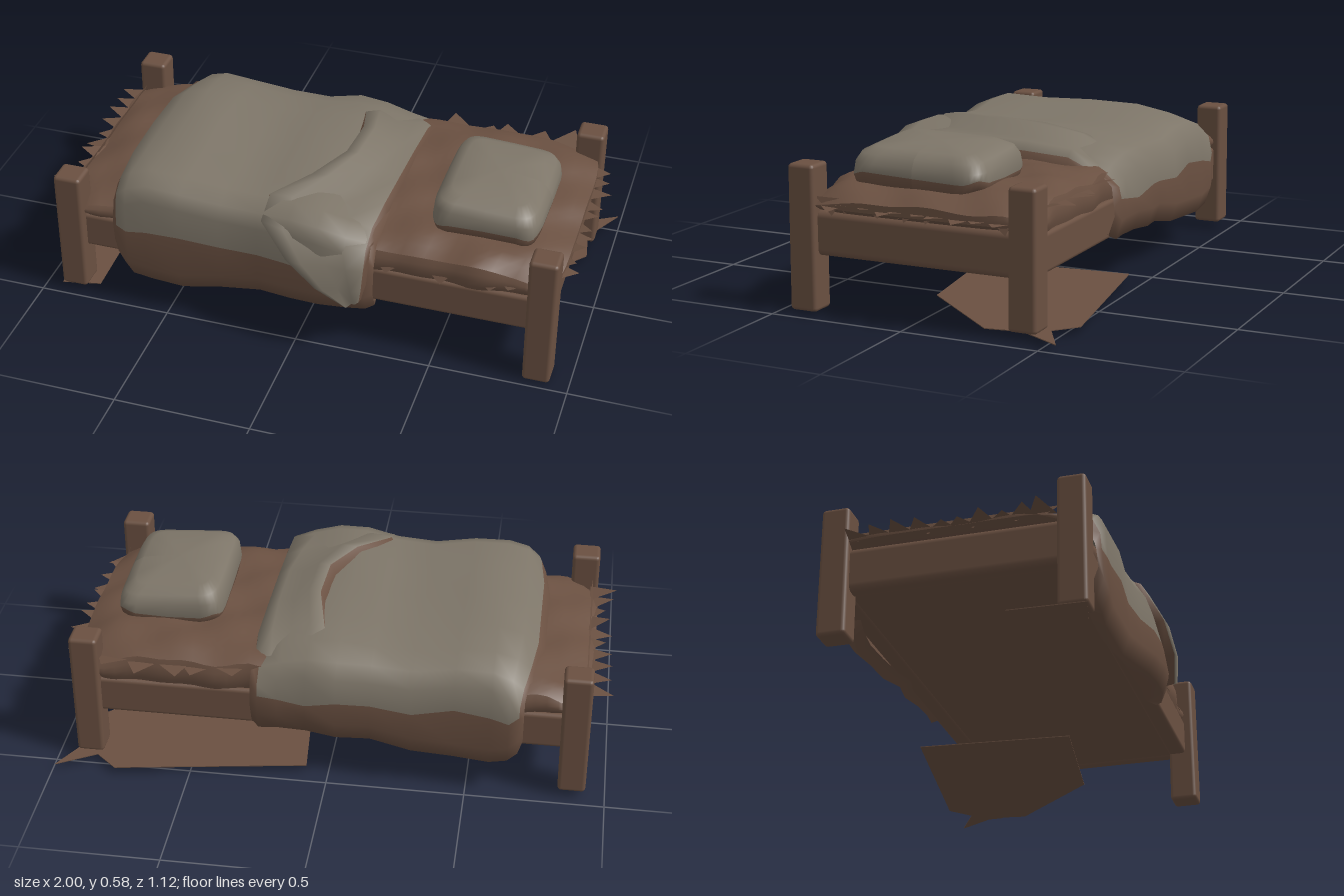
import * as THREE from 'three';
import { RoundedBoxGeometry } from 'three/addons/geometries/RoundedBoxGeometry.js';

export function createModel() {
  const bed = new THREE.Group();
  bed.name = 'bed';
  const brown = new THREE.MeshStandardMaterial({ color: 0x6a5041, side: THREE.DoubleSide });
  brown.name = 'brown wood and straw';
  const grey = new THREE.MeshStandardMaterial({ color: 0x7d7568, side: THREE.DoubleSide });
  grey.name = 'grey cloth';

  let seed = 7;
  const rand = () => (seed = (seed * 16807) % 2147483647) / 2147483647;
  const V = (x, y, z) => new THREE.Vector3(x, y, z);

  const add = (name, geometry, material, x = 0, y = 0, z = 0) => {
    const mesh = new THREE.Mesh(geometry, material);
    mesh.name = name;
    mesh.position.set(x, y, z);
    bed.add(mesh);
    return mesh;
  };

  // Skin between cross-sections; isGrey(row, column) picks the colour of each cell
  const loft = (rows, isGrey) => {
    const n = rows[0].length, parts = [[], []];
    for (let i = 0; i < rows.length - 1; i++) {
      for (let j = 0; j < n - 1; j++) {
        const a = i * n + j, b = a + n;
        parts[isGrey(i, j) ? 1 : 0].push(a, b, a + 1, b, b + 1, a + 1);
      }
    }
    const g = new THREE.BufferGeometry().setFromPoints(rows.flat());
    g.setIndex([...parts[0], ...parts[1]]);
    g.addGroup(0, parts[0].length, 0);
    g.addGroup(parts[0].length, parts[1].length, 1);
    g.computeVertexNormals();
    return g;
  };

  // Corner posts, a little worn and uneven
  const posts = [[-0.88, 0.42, 0.03, 0.51], [0.88, 0.42, 0.005, 0.52], [-0.88, -0.41, 0.03, 0.51], [0.88, -0.41, 0.03, 0.515]];
  for (const [x, z, low, high] of posts) {
    const post = new RoundedBoxGeometry(0.1, high - low, 0.1, 2, 0.014);
    const p = post.attributes.position;
    for (let i = 0; i < p.count; i++) {
      if (p.getY(i) > 0) p.setX(i, p.getX(i) * 1.04 + (x < 0 ? 0.004 : -0.002));
      else p.setZ(i, p.getZ(i) * 1.05);
    }
    add('cornerPost', post, brown, x, (low + high) / 2, z);
  }

  // Rails and base
  for (const s of [-1, 1]) {
    add('sideRail', new RoundedBoxGeometry(1.7, 0.14, 0.07, 2, 0.015), brown, 0, 0.27, s * 0.4);
    add('endRail', new RoundedBoxGeometry(0.07, 0.16, 0.78, 2, 0.025), brown, s * 0.87, 0.28, 0);
  }
  add('basePanel', new THREE.BoxGeometry(1.7, 0.02, 0.78), brown, 0, 0.215, 0);

  // Lumpy straw mattress, thinning out over the end rails
  const mattress = new THREE.BoxGeometry(1.86, 0.13, 0.87, 44, 4, 20);
  const mp = mattress.attributes.position;
  for (let i = 0; i < mp.count; i++) {
    const x = mp.getX(i), y = mp.getY(i), z = mp.getZ(i);
    const ex = Math.abs(x) / 0.93, ez = Math.abs(z) / 0.435;
    const lump = 0.009 * Math.sin(x * 23 + z * 5) * Math.cos(z * 17 - x * 6);
    const top = 0.455 + lump + 0.015 * x - 0.02 * z - 0.06 * Math.pow(ex, 8) - 0.035 * Math.pow(ez, 8);
    const bottom = 0.325 + 0.05 * Math.pow(ex, 12);
    const t = y / 0.13 + 0.5;
    mp.setXYZ(i, x * (1 - 0.04 * Math.pow(ez, 6)), bottom + (top - bottom) * t, z * (1 - 0.03 * (2 * t - 1) ** 2) + lump);
  }
  mattress.computeVertexNormals();
  add('strawMattress', mattress, brown);

  // Ragged straw tufts: broad zigzag triangles along an edge
  const fringe = (name, start, end, out, count, length, drop) => {
    const pts = [];
    for (let i = 0; i < count; i++) {
      const a = start.clone().lerp(end, (i - 0.2) / count), b = start.clone().lerp(end, (i + 1.2) / count);
      const tip = a.clone().lerp(b, 0.2 + 0.6 * rand()).addScaledVector(out, length * (0.4 + 0.6 * rand()));
      tip.y += drop * (rand() - 0.4);
      a.addScaledVector(out, -0.02);
      b.addScaledVector(out, -0.02);
      pts.push(a, b, tip);
    }
    const g = new THREE.BufferGeometry().setFromPoints(pts);
    g.computeVertexNormals();
    add(name, g, brown);
  };
  for (const s of [-1, 1]) {
    fringe('endStraw', V(s * 0.92, 0.385, -0.35), V(s * 0.92, 0.385, 0.35), V(s, 0, 0), 10, 0.085, 0.035);
    fringe('lowerEndStraw', V(s * 0.91, 0.39, -0.36), V(s * 0.91, 0.39, 0.36), V(s * 0.3, -1, 0), 9, 0.04, 0.01);
  }
  fringe('frontStraw', V(0.28, 0.37, 0.425), V(0.82, 0.37, 0.425), V(0, -0.7, 0.5), 6, 0.04, 0.02);
  fringe('backStraw', V(0.32, 0.42, -0.42), V(0.82, 0.42, -0.42), V(0, 0.1, -1), 5, 0.08, 0.03);

  // Blanket stations: x, top, front z, front hem, back z, back hem
  const stations = [
    [-0.75, 0.44, 0.45, 0.2, -0.46, 0.22], [-0.725, 0.485, 0.465, 0.16, -0.48, 0.18],
    [-0.67, 0.522, 0.475, 0.125, -0.487, 0.15], [-0.58, 0.545, 0.47, 0.11, -0.478, 0.13],
    [-0.45, 0.54, 0.475, 0.105, -0.467, 0.135], [-0.3, 0.52, 0.465, 0.13, -0.475, 0.15],
    [-0.15, 0.525, 0.475, 0.16, -0.465, 0.18], [-0.03, 0.54, 0.5, 0.17, -0.487, 0.19],
    [0.08, 0.535, 0.51, 0.175, -0.475, 0.2], [0.18, 0.51, 0.505, 0.18, -0.47, 0.2],
    [0.25, 0.49, 0.485, 0.175, -0.477, 0.2], [0.278, 0.44, 0.46, 0.18, -0.46, 0.22],
  ];
  const blanketRows = stations.map(([x, top, fz, fLow, bz, bLow], i) => {
    const wave = 0.008 * Math.sin(i * 2.1), line = 0.335 + wave;
    const inset = i === 0 || i === stations.length - 1 ? 0 : 0.055;
    const hem = x < -0.6 ? (-0.6 - x) * 0.36 : 0;
    return [
      V(x + hem, fLow + 0.02, 0.4), V(x + hem, fLow, fz - 0.025), V(x + hem * 0.8, fLow + 0.07, fz + 0.005),
      V(x + hem * 0.7, line, fz), V(x + hem * 0.7, top - 0.08, fz - 0.005), V(x + hem * 0.6, top - 0.025, fz - 0.03),
      V(x + hem * 0.4, top, fz - 0.1), V(x, top - 0.006 + wave, 0.2), V(x, top + wave, 0), V(x, top - 0.004, -0.2),
      V(x + hem * 0.4, top - 0.028, -0.33), V(x + hem * 0.8, top - inset, bz + 0.06), V(x + hem, top - inset - 0.045, bz + 0.01),
      V(x + hem, line + wave, bz), V(x + hem, bLow + 0.07, bz - 0.003), V(x + hem, bLow, bz + 0.02), V(x + hem, bLow + 0.02, -0.4),
    ];
  });
  add('blanket', loft(blanketRows, (i, j) => i > 0 && i < stations.length - 2 && j >= 3 && j < 13), [brown, grey]);

  // Folded-over flap: left edge x, y, z, then right edge x, y, z; its back end sinks into the blanket
  const flapEdges = [
    [0.0, 0.46, -0.38, 0.27, 0.43, -0.4], [0.04, 0.53, -0.25, 0.275, 0.485, -0.28],
    [0.075, 0.566, -0.1, 0.27, 0.495, -0.1], [0.065, 0.572, 0.08, 0.265, 0.5, 0.1],
    [-0.015, 0.562, 0.24, 0.26, 0.5, 0.25], [-0.13, 0.537, 0.37, 0.255, 0.49, 0.4],
    [-0.13, 0.49, 0.475, 0.255, 0.45, 0.48], [-0.02, 0.385, 0.535, 0.255, 0.38, 0.51],
    [0.09, 0.295, 0.548, 0.25, 0.3, 0.52], [0.19, 0.22, 0.525, 0.24, 0.24, 0.51],
  ];
  const flapRows = flapEdges.map(([x, y, z, x2, y2, z2], i) => {
    const a = V(x, y, z), b = V(x2, y2, z2);
    const up = i < 6 ? V(0, 0.016, 0) : V(0, 0, 0.012);
    const under = i < 6 ? V(x - 0.022, y - 0.045, z - 0.005) : V(x + 0.015, y, z - 0.04);
    const side = i < 6 ? V(x2 + 0.01, y2 - 0.06, z2) : V(x2 + 0.012, y2, z2 - 0.06);
    // a soft crease runs down the middle of the flap
    const lift = [1.1, -0.3, 0.7];
    return [under, a, ...lift.map((k, m) => a.clone().lerp(b, 0.22 + m * 0.28).addScaledVector(up, k)), b, side];
  });
  add('blanketFold', loft(flapRows, (i, j) => j > 0 && j < 5), [brown, grey]);

  // Pillow rings: height, half length, half width
  const rings = [[0.43, 0.17, 0.22], [0.45, 0.19, 0.245], [0.482, 0.197, 0.255], [0.525, 0.192, 0.248],
    [0.555, 0.175, 0.23], [0.575, 0.14, 0.185], [0.583, 0.06, 0.08], [0.584, 0, 0]];
  const pillowRows = rings.map(([y, a, b]) => {
    const row = [];
    for (let i = 0; i <= 32; i++) {
      const t = (i / 32) * Math.PI * 2, c = Math.cos(t), s = Math.sin(t);
      const x = a * Math.sign(c) * Math.pow(Math.abs(c), 0.3), z = b * Math.sign(s) * Math.pow(Math.abs(s), 0.3);
      const tilt = y > 0.5 ? -0.06 * x + 0.02 * z : 0.008 * Math.sin(t * 5);
      row.push(V(0.625 + x, y + tilt, 0.05 + z));
    }
    return row;
  });
  add('pillow', loft(pillowRows, (i) => i > 1), [brown, grey]);

  // Thin scraps lying on the floor
  const scrap = (outline) => {
    const shape = new THREE.Shape(outline.map(([x, z]) => new THREE.Vector2(x, -z)));
    const g = new THREE.ExtrudeGeometry(shape, { depth: 0.003, bevelEnabled: false });
    add('floorScrap', g.rotateX(-Math.PI / 2), brown, 0, 0.028, 0);
  };
  scrap([[0.08, -0.44], [0.77, -0.55], [0.85, -0.48], [0.99, -0.56], [0.9, -0.4], [0.92, -0.27], [0.63, 0.06], [0.13, 0.13]]);
  scrap([[-0.94, 0.2], [-0.8, 0.16], [-0.79, 0.44], [-0.93, 0.47]]);

  return bed;
}
